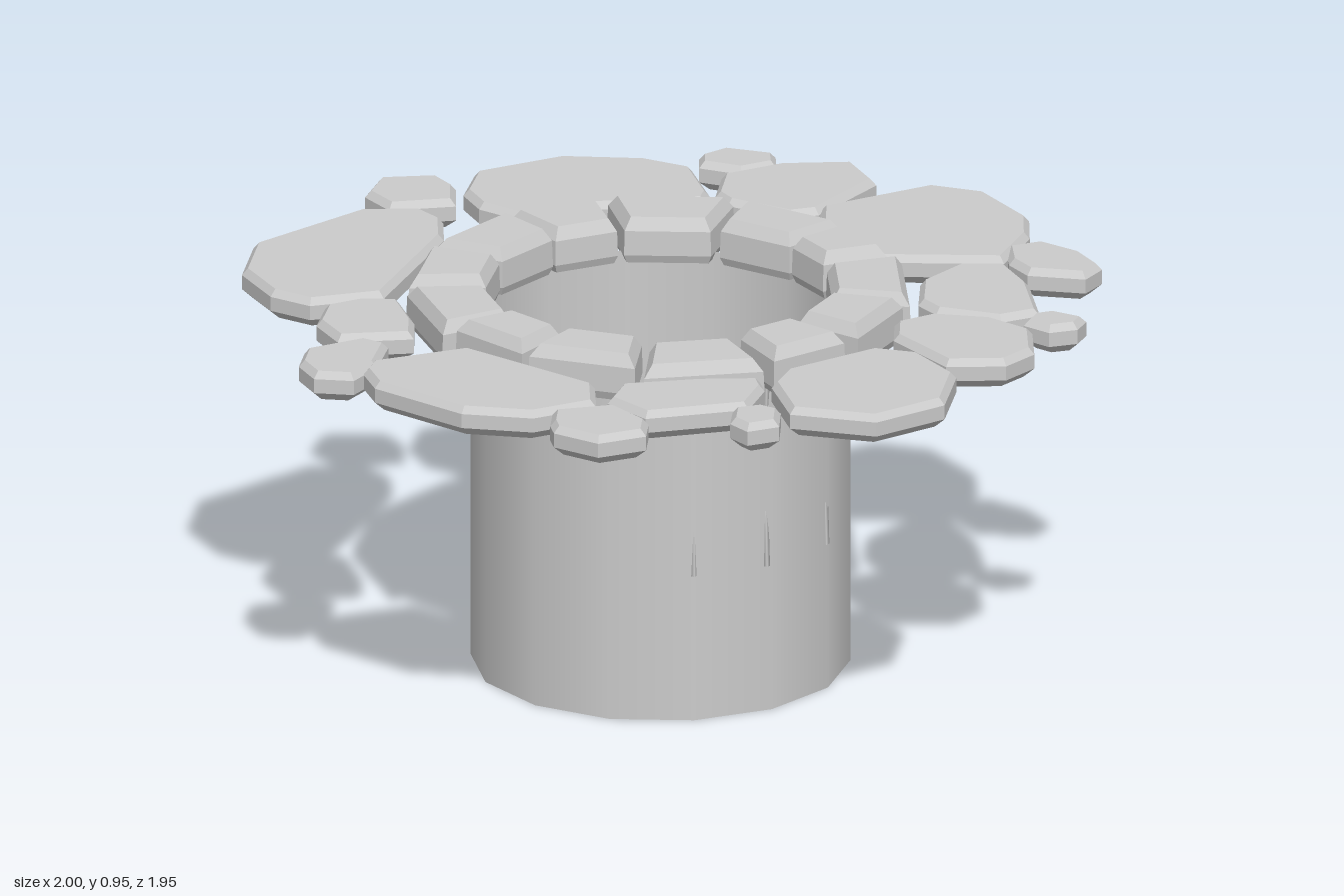
import * as THREE from 'three';

const CX = -0.055, CZ = -0.015; // axis of the shaft
const material = new THREE.MeshStandardMaterial({ color: 0xcccccc, flatShading: true });
const smooth = new THREE.MeshStandardMaterial({ color: 0xcccccc, side: THREE.DoubleSide });

// Move every side of an outline inward by d, with mitred corners
function inset(points, d) {
  const n = points.length;
  const normal = (a, b) => {
    const l = Math.hypot(b[0] - a[0], b[1] - a[1]);
    return [-(b[1] - a[1]) / l, (b[0] - a[0]) / l];
  };
  return points.map((p, i) => {
    const u = normal(points[(i + n - 1) % n], p);
    const v = normal(p, points[(i + 1) % n]);
    const k = d / (1 + u[0] * v[0] + u[1] * v[1]);
    return [p[0] + (u[0] + v[0]) * k, p[1] + (u[1] + v[1]) * k];
  });
}

// Chamfered stone: outline [x, z] clockwise from above, levels [y, inset] upward
function stone(name, outline, levels) {
  const n = outline.length, position = [], index = [];
  for (const [y, d] of levels) {
    for (const [x, z] of inset(outline, d)) position.push(x, y, z);
  }
  for (let l = 0; l < levels.length - 1; l++) {
    for (let i = 0; i < n; i++) {
      const a = l * n + i, b = l * n + (i + 1) % n;
      index.push(a, a + n, b, b, a + n, b + n);
    }
  }
  const top = (levels.length - 1) * n;
  for (let i = 1; i < n - 1; i++) {
    index.push(0, i, i + 1, top, top + i + 1, top + i);
  }
  const geometry = new THREE.BufferGeometry();
  geometry.setAttribute('position', new THREE.Float32BufferAttribute(position, 3));
  geometry.setIndex(index);
  const flat = geometry.toNonIndexed();
  flat.computeVertexNormals();
  const mesh = new THREE.Mesh(flat, material);
  mesh.name = name;
  return mesh;
}

function createShaft() {
  const shaft = new THREE.Group();
  shaft.name = 'shaft';
  const wall = new THREE.Mesh(new THREE.CylinderGeometry(0.448, 0.448, 0.86, 14, 1, true), smooth);
  wall.name = 'shaftWall';
  wall.position.set(CX, 0.43, CZ);
  const floor = new THREE.Mesh(new THREE.CircleGeometry(0.448, 14), smooth);
  floor.name = 'shaftFloor';
  floor.rotation.x = Math.PI / 2;
  floor.rotation.z = Math.PI / 2;
  floor.position.set(CX, 0, CZ);
  shaft.add(wall, floor);

  // Thin uneven ribs in the wall
  for (const degrees of [90, 66, 39, -16]) {
    const a = THREE.MathUtils.degToRad(degrees);
    const curve = new THREE.CatmullRomCurve3(
      [[0.445, 0.85], [0.44, 0.74], [0.425, 0.6], [0.44, 0.48], [0.445, 0.36]].map(
        ([r, y]) => new THREE.Vector3(CX + r * Math.cos(a), y, CZ + r * Math.sin(a))));
    const rib = new THREE.Mesh(new THREE.TubeGeometry(curve, 16, 0.008, 4), smooth);
    rib.name = 'wallRib';
    shaft.add(rib);
  }
  return shaft;
}

// Rim stones: start angle, end angle, outer radius, top height
const RIM = [
  [-92, -63, 0.60, 0.95], [-60, -32, 0.58, 0.955], [-31, -11, 0.575, 0.955], [-8, 21, 0.60, 0.945],
  [24, 48, 0.59, 0.955], [52, 73, 0.585, 0.955], [76, 104, 0.60, 0.94], [106, 133, 0.575, 0.955],
  [135, 158, 0.57, 0.955], [159, 187, 0.60, 0.945], [189, 213, 0.595, 0.955],
  [215, 242, 0.59, 0.955], [243, 266, 0.595, 0.95],
];

function createRim() {
  const rim = new THREE.Group();
  rim.name = 'rim';
  for (const [from, to, outer, top] of RIM) {
    const corner = (r, degrees) => {
      const a = THREE.MathUtils.degToRad(degrees);
      return [CX + r * Math.cos(a), CZ + r * Math.sin(a)];
    };
    const outline = [corner(outer, from), corner(outer, to), corner(0.41, to), corner(0.41, from)];
    rim.add(stone('rimStone', outline, [[0.84, 0.008], [0.86, 0], [top - 0.03, 0.002], [top, 0.02]]));
  }
  return rim;
}

function createPaving() {
  const paving = new THREE.Group();
  paving.name = 'paving';
  const pave = (name, ...outline) => paving.add(
    stone(name, outline, [[0.845, 0.025], [0.868, 0], [0.903, 0], [0.92, 0.014]]));

  // Large slabs
  pave('backSlab', [-.39, -.78], [-.34, -.91], [-.12, -.98], [.07, -.93], [.17, -.85], [.18, -.67],
    [.16, -.62], [-.11, -.63], [-.29, -.59], [-.37, -.68]);
  pave('backRightSlab', [-1, -.33], [-.94, -.51], [-.65, -.7], [-.51, -.68], [-.47, -.6], [-.49, -.48],
    [-.7, -.11], [-.88, -.09], [-.96, -.17]);
  pave('frontRightSlab', [-.84, .4], [-.81, .34], [-.57, .29], [-.32, .59], [-.34, .72], [-.5, .77],
    [-.66, .71], [-.83, .5]);
  pave('frontLeftSlab', [.09, .66], [.14, .57], [.37, .46], [.47, .51], [.53, .67], [.47, .85],
    [.29, .94], [.1, .85]);
  pave('backLeftSlab', [.4, -.43], [.42, -.53], [.7, -.63], [.82, -.56], [.89, -.37], [.87, -.25],
    [.78, -.09], [.45, -.16]);

  // Medium slabs
  pave('rightSlab', [-.89, .05], [-.85, -.06], [-.76, -.09], [-.67, -.07], [-.66, .08], [-.68, .18],
    [-.86, .17]);
  pave('frontSlab', [-.31, .7], [-.26, .6], [-.07, .6], [.07, .62], [.07, .68], [.01, .8], [-.24, .82]);
  pave('leftFrontSlab', [.43, .39], [.45, .29], [.55, .25], [.68, .3], [.76, .4], [.74, .54],
    [.66, .61], [.52, .59]);
  pave('leftSlab', [.53, .16], [.56, .02], [.67, -.08], [.78, -.06], [.81, .08], [.8, .28],
    [.7, .31], [.56, .23]);
  pave('backLeftInnerSlab', [.19, -.66], [.23, -.79], [.38, -.84], [.55, -.82], [.58, -.68], [.41, -.5],
    [.34, -.49], [.21, -.6]);

  // Small stones filling the outer gaps
  pave('smallStone', [-.62, -.81], [-.57, -.91], [-.43, -.9], [-.4, -.82], [-.42, -.71], [-.58, -.71]);
  pave('smallStone', [-.98, .32], [-.95, .23], [-.8, .18], [-.75, .23], [-.8, .36], [-.87, .44], [-.96, .41]);
  pave('smallStone', [-.47, .83], [-.45, .75], [-.3, .74], [-.24, .86], [-.26, .94], [-.38, .97], [-.47, .88]);
  pave('smallStone', [-.05, .89], [-.03, .81], [.04, .8], [.08, .84], [.06, .93], [-.02, .95]);
  pave('smallStone', [.75, .34], [.78, .29], [.83, .28], [.9, .34], [.87, .39], [.8, .4]);
  pave('smallStone', [.79, -.08], [.8, -.18], [.89, -.2], [.97, -.11], [1, -.01], [.95, .05], [.82, 0]);
  pave('smallStone', [.19, -.87], [.2, -.93], [.27, -.97], [.38, -.91], [.37, -.84], [.28, -.81]);
  return paving;
}

export function createModel() {
  const model = new THREE.Group();
  model.name = 'stoneWell';
  model.add(createShaft(), createRim(), createPaving());
  return model;
}
